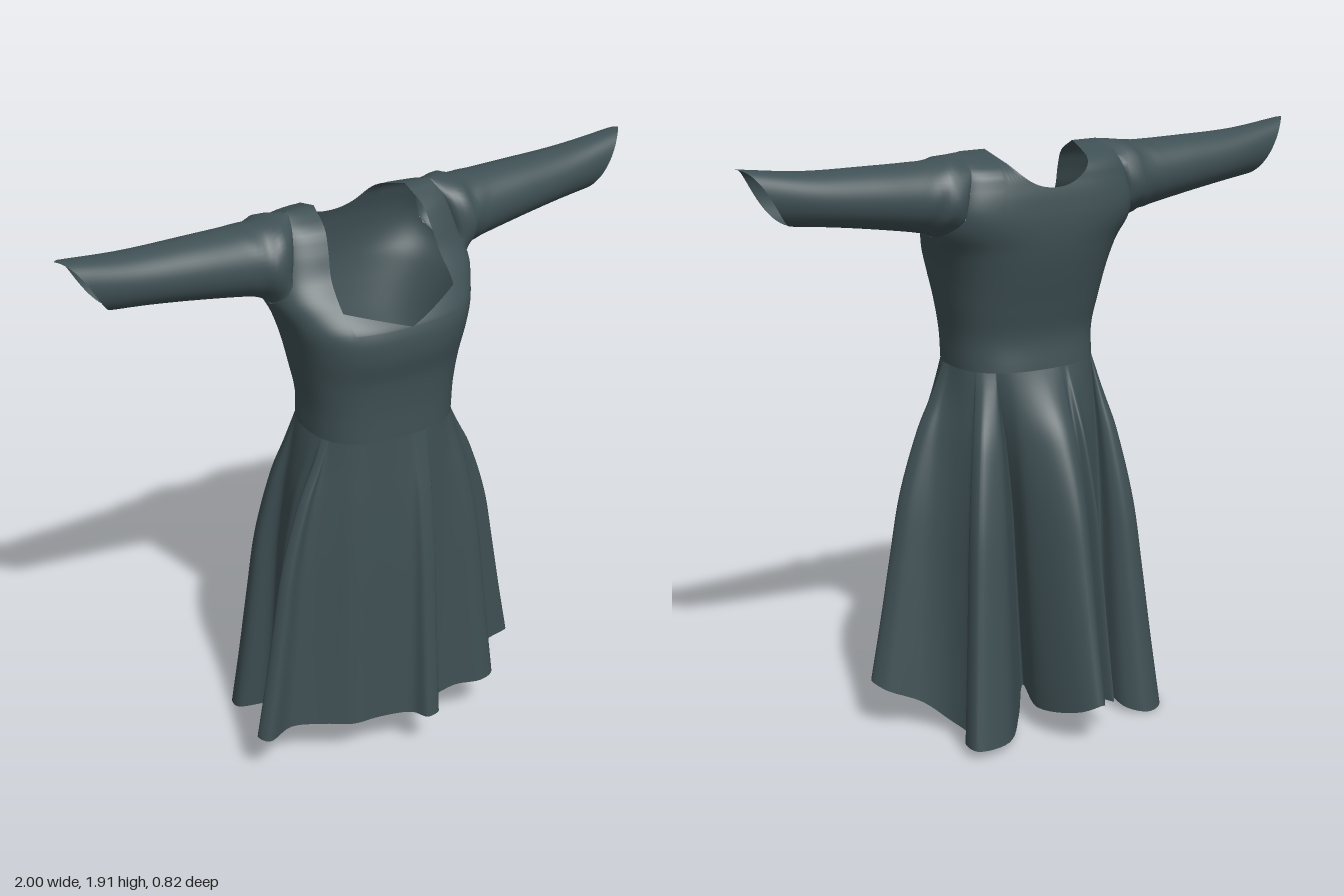
import * as THREE from 'three';
import { mergeGeometries, mergeVertices } from 'three/addons/utils/BufferGeometryUtils.js';

const WAIST = 1.2, NECK = 0.58; // waist height, neck edge as a share of the half width
const ARMPIT = 1.64, SHOULDER = 1.9;

// Smoothly read a table of rows [key, a, b, ...] at a key
function sample(rows, key) {
  let i = 0;
  while (i < rows.length - 2 && key > rows[i + 1][0]) i++;
  const f = THREE.MathUtils.clamp((key - rows[i][0]) / (rows[i + 1][0] - rows[i][0]), 0, 1);
  return rows[i].slice(1).map((a, k) => {
    const b = rows[i + 1][k + 1], h = rows[i + 1][0] - rows[i][0];
    const slope = (n) => {
      const p = rows[Math.max(n - 1, 0)], q = rows[Math.min(n + 1, rows.length - 1)];
      return (q[k + 1] - p[k + 1]) / (q[0] - p[0]);
    };
    const f2 = f * f, f3 = f2 * f;
    return a * (2 * f3 - 3 * f2 + 1) + b * (3 * f2 - 2 * f3)
      + h * (slope(i) * (f3 - 2 * f2 + f) + slope(i + 1) * (f3 - f2));
  });
}

// Surface through point(u, v) on a regular grid
function surface(nu, nv, point, flip = false) {
  const pos = [], idx = [];
  for (let j = 0; j <= nv; j++) for (let i = 0; i <= nu; i++) pos.push(...point(i / nu, j / nv));
  for (let j = 0; j < nv; j++) for (let i = 0; i < nu; i++) {
    const a = j * (nu + 1) + i, b = a + 1, c = a + nu + 1, d = c + 1;
    if (flip) idx.push(a, d, b, a, c, d);
    else idx.push(a, b, d, a, d, c);
  }
  const g = new THREE.BufferGeometry();
  g.setAttribute('position', new THREE.Float32BufferAttribute(pos, 3));
  g.setIndex(idx);
  return g;
}

function smooth(geometries) {
  const g = mergeVertices(mergeGeometries(geometries), 1e-4);
  g.computeVertexNormals();
  return g;
}

// Torso rows: height, half width, front z, back z
const TORSO = [
  [1.2, 0.245, 0.31, -0.09], [1.3, 0.25, 0.31, -0.08], [1.4, 0.268, 0.318, -0.1],
  [1.5, 0.29, 0.338, -0.125], [1.58, 0.315, 0.328, -0.142], [1.65, 0.342, 0.262, -0.15],
  [1.72, 0.335, 0.19, -0.148], [1.8, 0.315, 0.152, -0.132], [1.86, 0.298, 0.112, -0.095],
  [SHOULDER, 0.28, 0.03, 0.03],
];

function torsoPoint(s, y, front) {
  const [w, zf, zb] = sample(TORSO, y);
  const mid = (zf + zb) / 2, depth = (front ? 1 : -1) * (zf - zb) / 2;
  const n = 2.5 + THREE.MathUtils.smoothstep(y, 1.6, 1.75); // squarer at the shoulders
  const round = Math.pow(Math.max(0, 1 - Math.pow(Math.abs(s), n)), 1 / n);
  return [s * w, y, mid + depth * round];
}

// Share of the half width reached by the bodice's side edge
const sideEdge = (y) => 1 - 0.1 * THREE.MathUtils.smoothstep(y, ARMPIT, 1.72);

// Bodice: neck, shoulder and side panels, with open armholes and a square neckline
function bodice() {
  const parts = [];
  for (const front of [true, false]) {
    for (const [from, to] of [[-1, -NECK], [-NECK, NECK], [NECK, 1]]) {
      const centre = to === NECK;
      parts.push(surface(centre ? 28 : 16, 48, (u, v) => {
        const across = from + (to - from) * u, e = Math.abs(across) / NECK;
        let top = SHOULDER;
        if (centre) top = front ? 1.58 + 0.06 * e : 1.79 + (SHOULDER - 1.79) * Math.pow(e, 2.2);
        const y = v < 0.5 ? WAIST + (1.58 - WAIST) * v * 2 : 1.58 + (top - 1.58) * (v * 2 - 1);
        if (centre) return torsoPoint(across, y, front);
        // ease the columns toward the side so it stays round
        const out = Math.sin((from < 0 ? 1 - u : u) * Math.PI / 2);
        return torsoPoint(Math.sign(from + to) * (NECK + (sideEdge(y) - NECK) * out), y, front);
      }, !front));
    }
  }
  return smooth(parts);
}

// Hem line as x, z, y, once around from the front toward +x
const HEM = [
  [0, 0.36, 0.17], [0.03, 0.41, 0.17], [0.08, 0.4, 0.17], [0.075, 0.335, 0.16], [0.2, 0.31, 0.17],
  [0.3, 0.335, 0.17], [0.36, 0.31, 0.17], [0.38, 0.19, 0.17], [0.46, 0.15, 0.17], [0.55, 0.13, 0.17],
  [0.53, 0.07, 0.15], [0.42, 0.02, 0.1], [0.36, -0.05, 0.05], [0.34, -0.15, 0.03], [0.385, -0.2, 0.03],
  [0.38, -0.27, 0.03], [0.25, -0.25, 0.02], [0.14, -0.13, 0.04], [0.07, -0.04, 0.1], [0.1, -0.18, 0.08],
  [0.05, -0.36, 0.12], [0, -0.41, 0.15], [-0.04, -0.37, 0.13], [-0.055, -0.28, 0.12], [-0.09, -0.35, 0.12],
  [-0.12, -0.22, 0.1], [-0.2, -0.13, 0.06],
  [-0.22, -0.22, 0.02], [-0.28, -0.27, 0.005], [-0.36, -0.23, 0], [-0.38, -0.15, 0.02], [-0.31, -0.07, 0.06],
  [-0.34, 0, 0.1], [-0.4, 0.08, 0.14], [-0.41, 0.14, 0.17], [-0.5, 0.2, 0.17], [-0.48, 0.245, 0.17],
  [-0.38, 0.215, 0.17], [-0.28, 0.26, 0.17], [-0.2, 0.31, 0.17], [-0.1, 0.325, 0.17],
];
// How far the cloth has spread from waist to hem, by share of the drop
const FLARE = [[0, 0], [0.1, 0.17], [0.2, 0.35], [0.4, 0.59], [0.6, 0.73], [0.8, 0.86], [1, 1]];

// Skirt: folds grow from a smooth waist to the draped hem
function skirt() {
  const hem = new THREE.CatmullRomCurve3(HEM.map(([x, z, y]) => new THREE.Vector3(x, y, z)), true);
  const n = HEM.length * 6, columns = [];
  let turn = 0;
  for (let i = 0; i <= n; i++) {
    const p = hem.getPoint(i === n ? 0 : i / n);
    let a = Math.atan2(p.x, p.z - 0.03);
    if (i > n / 2 && a <= 0) a += 2 * Math.PI;
    turn = i === n ? 2 * Math.PI : Math.min(Math.max(turn, a), 2 * Math.PI);
    const x = Math.sin(turn), c = Math.cos(turn);
    const s = Math.sign(x) * Math.pow(Math.abs(x), 0.8);
    columns.push([new THREE.Vector3(...torsoPoint(s, WAIST, c >= 0)), p]);
  }
  return smooth([surface(n, 40, (u, v) => {
    const [a, b] = columns[Math.round(u * n)];
    const w = sample(FLARE, v)[0];
    return [a.x + (b.x - a.x) * w, a.y + (b.y - a.y) * v, a.z + (b.z - a.z) * w];
  }, true)]);
}

// Sleeve rows: share of length, top x, top y, bottom x, bottom y, back z, front z
const SLEEVE = [
  [0, 0.26, 1.885, 0.34, 1.635, -0.12, 0.165], [0.08, 0.31, 1.895, 0.36, 1.65, -0.115, 0.155],
  [0.16, 0.36, 1.885, 0.39, 1.662, -0.1, 0.135], [0.5, 0.6, 1.885, 0.55, 1.692, -0.085, 0.115],
  [0.75, 0.8, 1.89, 0.7, 1.715, -0.07, 0.1], [1, 1, 1.912, 0.83, 1.73, -0.045, 0.085],
];

// Sleeve: grows out of the armhole edge and ends in a slanted, pointed cuff
function sleeve() {
  return smooth([surface(48, 40, (u, v) => {
    const [xt, yt, xb, yb, zb, zf] = sample(SLEEVE, v);
    const a = u * 2 * Math.PI, c = Math.cos(a), s = Math.sin(a);
    // gathered wrinkles near the shoulder
    const r = 1 + 0.03 * Math.sin(a * 5 + v * 45) * Math.max(0, 1 - v * 3.5);
    const tube = new THREE.Vector3(
      xb + (xt - xb) * Math.abs(1 - 2 * u),
      (yt + yb) / 2 + (yt - yb) / 2 * c * r,
      (zf + zb) / 2 + (zf - zb) / 2 * s * r,
    );
    const y = (SHOULDER + ARMPIT) / 2 + (SHOULDER - ARMPIT) / 2 * c;
    const armhole = new THREE.Vector3(...torsoPoint(sideEdge(y), y, u <= 0.5));
    return armhole.lerp(tube, Math.min(1, v / 0.1)).toArray();
  }, true)]);
}

export function createModel() {
  const model = new THREE.Group();
  model.name = 'dress';
  const cloth = new THREE.MeshStandardMaterial({ color: 0x3f5054, side: THREE.DoubleSide });
  cloth.name = 'dark slate cloth';
  const add = (name, geometry) => {
    const mesh = new THREE.Mesh(geometry, cloth);
    mesh.name = name;
    model.add(mesh);
    return mesh;
  };
  add('bodice', bodice());
  add('skirt', skirt());
  const arm = sleeve();
  add('leftSleeve', arm);
  add('rightSleeve', arm).scale.x = -1;
  return model;
}
